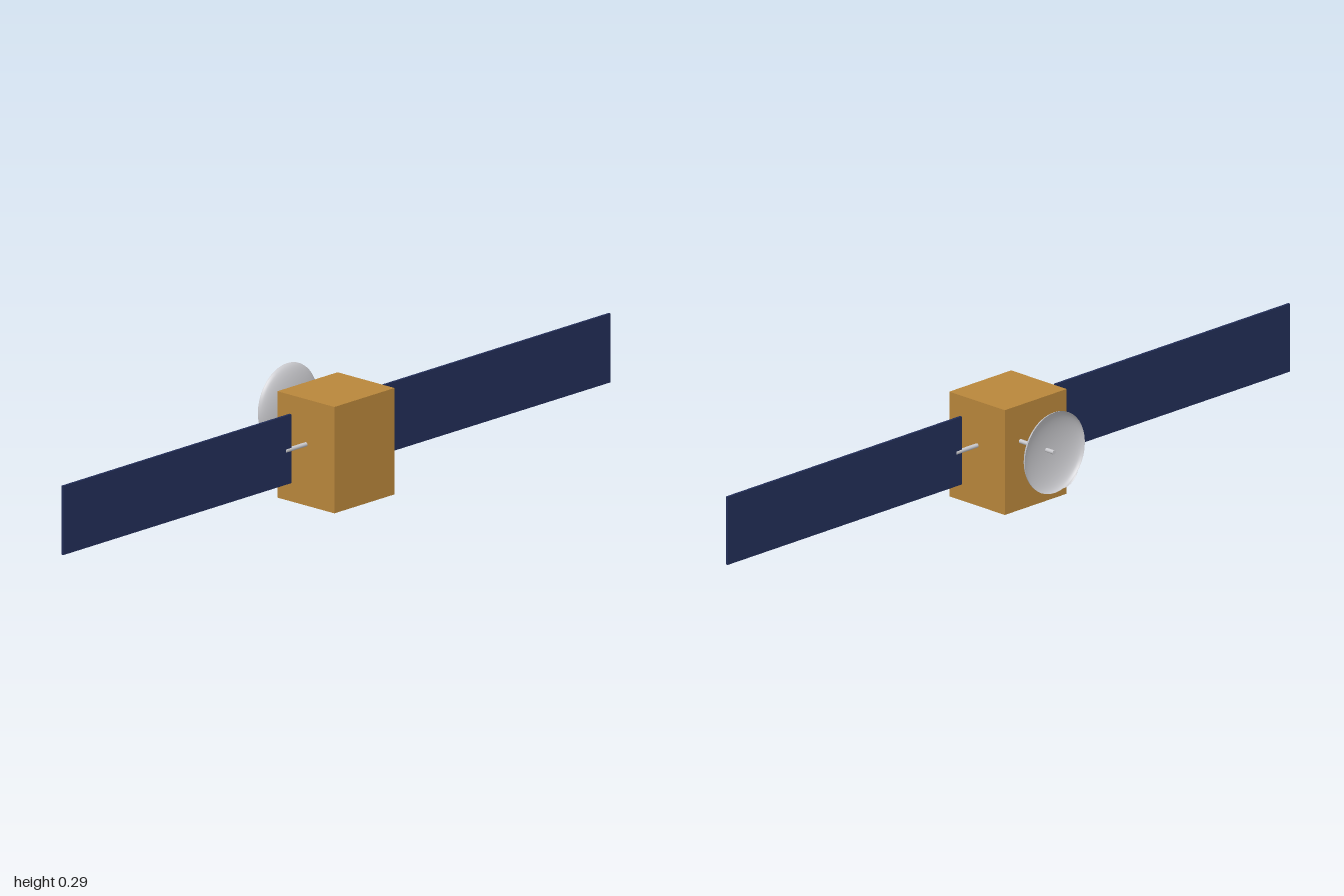
import * as THREE from 'three';

const gold = new THREE.MeshStandardMaterial({ color: 0xb8863b });
gold.name = 'gold foil';
const navy = new THREE.MeshStandardMaterial({ color: 0x222d57 });
navy.name = 'solar navy';
const silver = new THREE.MeshStandardMaterial({ color: 0xc8c8cc, side: THREE.DoubleSide });
silver.name = 'silver grey';

const BODY_Z = 0.0615;

export function createModel() {
  const model = new THREE.Group();
  model.name = 'satellite';

  const add = (name, geometry, material, x, y, z) => {
    const mesh = new THREE.Mesh(geometry, material);
    mesh.name = name;
    mesh.position.set(x, y, z);
    model.add(mesh);
    return mesh;
  };

  // Thin open bowl: half an ellipsoid with its apex at z, opening towards -z
  const addDish = (name, radius, depth, x, y, z) => {
    const profile = [];
    for (let i = 0; i <= 14; i++) {
      const a = (i / 14) * Math.PI / 2;
      profile.push(new THREE.Vector2(radius * Math.sin(a), depth * (1 - Math.cos(a))));
    }
    const geometry = new THREE.LatheGeometry(profile, 40).rotateX(-Math.PI / 2);
    add(name, geometry, silver, x, y, z);
  };

  // Main box
  add('body', new THREE.BoxGeometry(0.22, 0.278, 0.195), gold, 0, 0.139, BODY_Z);

  // Solar wings and the booms that carry them
  for (const [side, s] of [['left', 1], ['right', -1]]) {
    add(side + 'SolarPanel', new THREE.BoxGeometry(0.833, 0.18, 0.007), navy, s * 0.5835, 0.162, BODY_Z);
    const boom = new THREE.CylinderGeometry(0.0056, 0.0056, 0.086, 16).rotateZ(Math.PI / 2);
    add(side + 'PanelBoom', boom, silver, s * 0.143, 0.16, BODY_Z);
  }

  // Rear antennas
  addDish('largeDish', 0.107, 0.029, 0.055, 0.182, -0.128);
  addDish('smallDish', 0.0515, 0.014, -0.07, 0.0845, -0.053);
  const mast = new THREE.CylinderGeometry(0.0055, 0.0055, 0.125, 16).rotateX(Math.PI / 2);
  add('dishMast', mast, silver, 0.055, 0.182, -0.0925);

  return model;
}
